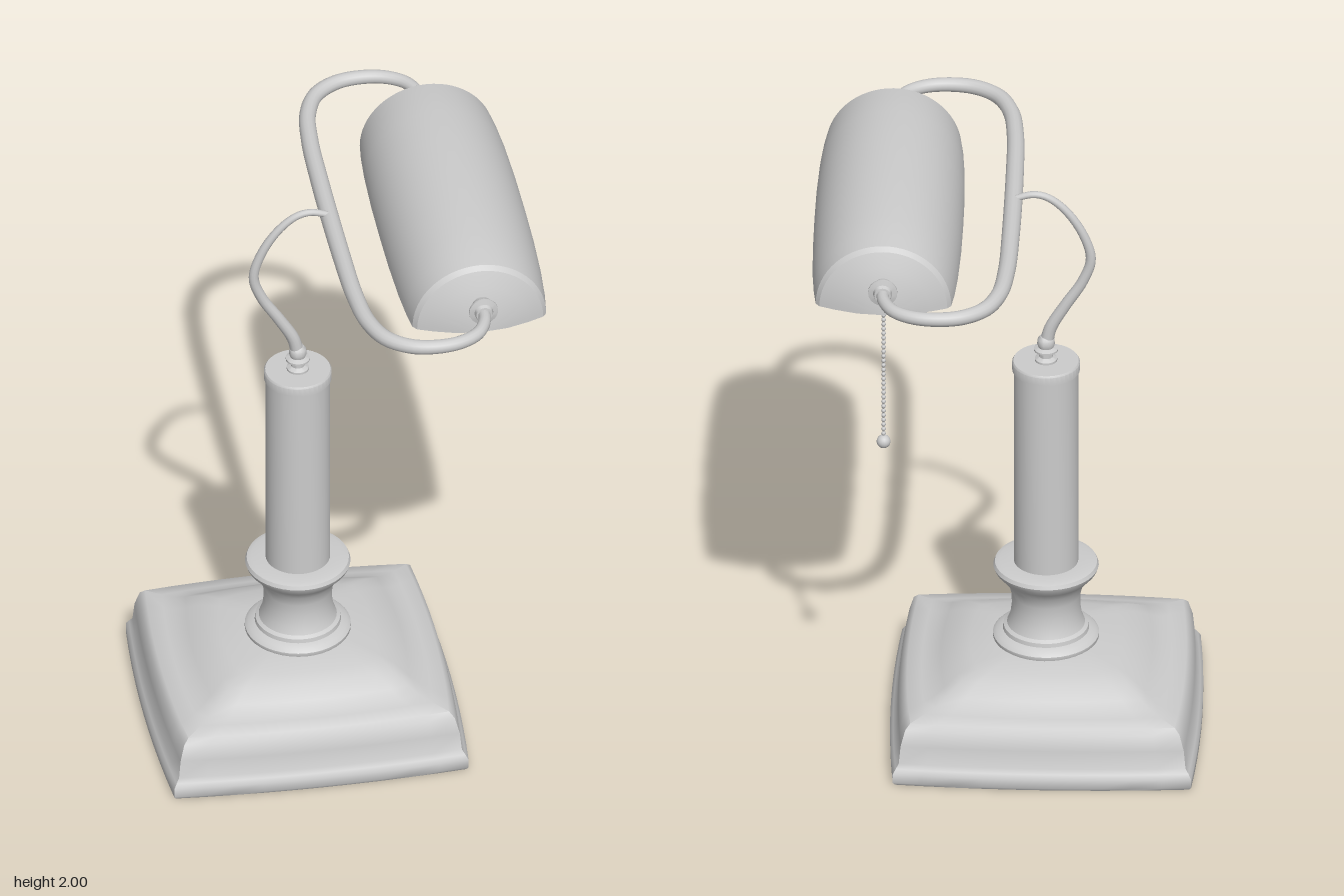
import * as THREE from 'three';
import { toCreasedNormals } from 'three/addons/utils/BufferGeometryUtils.js';

const material = new THREE.MeshStandardMaterial({ color: 0xcccccc });
const openMaterial = new THREE.MeshStandardMaterial({ color: 0xcccccc, side: THREE.DoubleSide });
const POST_X = -0.12;
const SHADE_X = 0.372;
const ARM_Y = 1.857;

function part(name, geometry, parent, mat = material) {
  const mesh = new THREE.Mesh(geometry, mat);
  mesh.name = name;
  parent.add(mesh);
  return mesh;
}

function lathe(points, segments, start = 0, length = Math.PI * 2, crease = 0.6) {
  const g = new THREE.LatheGeometry(points.map(([r, y]) => new THREE.Vector2(r, y)), segments, start, length);
  return toCreasedNormals(g, crease);
}

// Tube whose radius follows a function of t along the path
function taperedTube(points, segments, sides, radiusAt) {
  const curve = new THREE.CatmullRomCurve3(points.map(p => new THREE.Vector3(...p)));
  const g = new THREE.TubeGeometry(curve, segments, 1, sides);
  const pos = g.attributes.position;
  const v = new THREE.Vector3();
  for (let i = 0; i <= segments; i++) {
    const c = curve.getPointAt(i / segments);
    for (let j = 0; j <= sides; j++) {
      const k = i * (sides + 1) + j;
      v.fromBufferAttribute(pos, k).sub(c).multiplyScalar(radiusAt(i / segments)).add(c);
      pos.setXYZ(k, v.x, v.y, v.z);
    }
  }
  return g;
}

// Stepped square foot: bulging square loops, rounder towards the top
function footGeometry() {
  const levels = [ // half width, height, roundness
    [0, 0, 0], [0.48, 0, 0], [0.487, 0.01, 0], [0.487, 0.04, 0], [0.478, 0.055, 0], [0.468, 0.07, 0],
    [0.462, 0.13, 0], [0.45, 0.18, 0.02], [0.435, 0.197, 0.03], [0.39, 0.207, 0.06],
    [0.36, 0.215, 0.1], [0.33, 0.235, 0.15], [0.285, 0.265, 0.2], [0.24, 0.281, 0.35],
    [0.16, 0.296, 0.8], [0, 0.298, 1],
  ];
  const perSide = 10, n = perSide * 4;
  const positions = [], index = [];
  for (const [half, y, round] of levels) {
    for (let i = 0; i < n; i++) {
      const side = Math.floor(i / perSide);
      const u = (i % perSide) / perSide * 2 - 1;
      const a = u * Math.PI / 4;
      const along = THREE.MathUtils.lerp(0.958 * u, Math.sin(a), round);
      const out = THREE.MathUtils.lerp(1 - 0.042 * u * u, Math.cos(a), round);
      const t = side * Math.PI / 2;
      const x = out * Math.cos(t) - along * Math.sin(t);
      const z = out * Math.sin(t) + along * Math.cos(t);
      positions.push(x * half, y, z * half * 0.958);
    }
  }
  for (let l = 0; l < levels.length - 1; l++) {
    for (let i = 0; i < n; i++) {
      const a = l * n + i, b = l * n + (i + 1) % n;
      index.push(a, a + n, b, b, a + n, b + n);
    }
  }
  const g = new THREE.BufferGeometry();
  g.setAttribute('position', new THREE.Float32BufferAttribute(positions, 3));
  g.setIndex(index);
  return toCreasedNormals(g, 0.75);
}

export function createModel() {
  const lamp = new THREE.Group();
  lamp.name = 'deskLamp';

  part('foot', footGeometry(), lamp).position.x = POST_X - 0.002;

  // Turned pedestal, column and neck
  part('pedestal', lathe([
    [0.16, 0.285], [0.166, 0.297], [0.166, 0.307], [0.155, 0.318], [0.135, 0.325], [0.133, 0.338],
    [0.122, 0.345], [0.112, 0.37], [0.107, 0.41], [0.108, 0.45], [0.117, 0.485], [0.14, 0.515],
    [0.16, 0.538], [0.165, 0.551], [0.16, 0.563], [0.145, 0.568], [0.09, 0.568],
  ], 40), lamp).position.x = POST_X;
  part('column', lathe([
    [0.101, 0.56], [0.101, 1.255], [0.106, 1.258], [0.106, 1.285], [0.102, 1.291], [0, 1.291],
  ], 40), lamp).position.x = POST_X;
  part('neck', lathe([
    [0.035, 1.288], [0.035, 1.298], [0.022, 1.306], [0.022, 1.32], [0.038, 1.328], [0.038, 1.334],
    [0.024, 1.34], [0.028, 1.352], [0.026, 1.368], [0.018, 1.378], [0, 1.378],
  ], 24), lamp).position.x = POST_X;

  // Curved stem from the neck to the loop
  part('stem', taperedTube([
    [-0.12, 1.35, 0], [-0.135, 1.41, 0], [-0.18, 1.49, 0], [-0.235, 1.58, 0], [-0.26, 1.66, 0],
    [-0.235, 1.75, 0], [-0.18, 1.835, 0], [-0.125, 1.88, 0], [-0.08, 1.89, 0], [-0.015, 1.872, 0],
  ], 48, 12, t => 0.021 - 0.011 * t), lamp);

  // Loop holding the shade at both ends
  const halfLoop = [
    [SHADE_X, ARM_Y, 0.56], [0.368, ARM_Y, 0.61], [0.335, ARM_Y, 0.675], [0.275, ARM_Y, 0.712],
    [0.2, ARM_Y, 0.723], [0.12, ARM_Y, 0.708], [0.05, ARM_Y, 0.655], [0.008, ARM_Y, 0.56],
    [-0.01, ARM_Y, 0.42], [-0.016, ARM_Y, 0.2],
  ];
  const otherHalf = halfLoop.map(([x, y, z]) => [x, y, -z]).reverse();
  part('loopArm', taperedTube([...halfLoop, ...otherHalf], 110, 14,
    t => 0.019 + 0.01 * Math.sin(Math.PI * t)), lamp);

  // Flared collars where the loop meets the shade
  for (const side of [1, -1]) {
    const collar = part('collar', lathe([
      [0.032, 0.525], [0.034, 0.54], [0.046, 0.559], [0.046, 0.566], [0.03, 0.57], [0.026, 0.582], [0.012, 0.584],
    ], 20), lamp);
    collar.position.set(SHADE_X, ARM_Y, 0);
    collar.rotation.x = side * Math.PI / 2;
  }

  // Half-round shade, open underneath
  const halfProfile = [
    [0, 0.55], [0.08, 0.543], [0.15, 0.522], [0.2, 0.502], [0.212, 0.486], [0.22, 0.42],
    [0.227, 0.32], [0.232, 0.16],
  ];
  const profile = [...halfProfile.map(([r, z]) => [r, -z]), [0.233, 0],
    ...halfProfile.slice().reverse()];
  const shade = part('shade', lathe(profile, 32, Math.PI / 2, Math.PI, 0.5), lamp, openMaterial);
  shade.rotation.x = Math.PI / 2;
  shade.position.set(SHADE_X, 1.768, 0);

  // Beaded pull chain
  const chain = new THREE.Group();
  chain.name = 'pullChain';
  chain.position.set(SHADE_X + 0.003, 0, -0.39);
  lamp.add(chain);
  part('chainCord', new THREE.CylinderGeometry(0.003, 0.003, 0.63, 6), chain).position.y = 1.535;
  const bead = new THREE.SphereGeometry(0.0075, 8, 6);
  for (let y = 1.245; y < 1.85; y += 0.0165) part('chainBead', bead, chain).position.y = y;
  part('chainBall', new THREE.SphereGeometry(0.022, 18, 12), chain).position.y = 1.216;

  return lamp;
}
